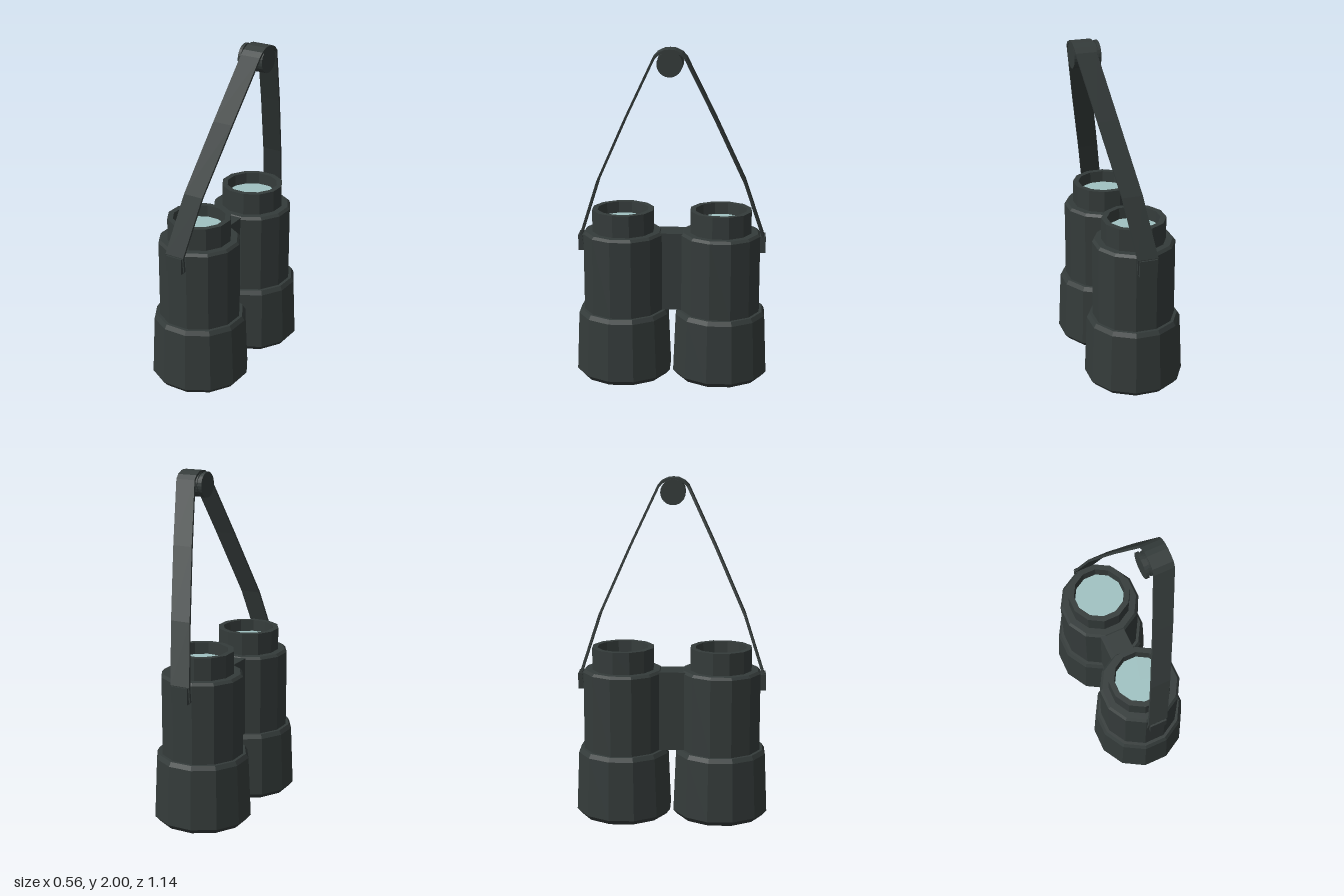
import * as THREE from 'three';

const SIDES = 12;
const K = 1 / Math.cos(Math.PI / SIDES); // flat-to-flat half width -> corner radius

const rubber = new THREE.MeshStandardMaterial({ color: 0x343b3a, flatShading: true });
rubber.name = 'dark rubber';
const glass = new THREE.MeshStandardMaterial({ color: 0xa0c2c2, flatShading: true });
glass.name = 'pale glass';

function add(parent, name, geometry, material, x = 0, y = 0, z = 0) {
  const mesh = new THREE.Mesh(geometry, material);
  mesh.name = name;
  mesh.position.set(x, y, z);
  parent.add(mesh);
  return mesh;
}

// Turned 12-sided shell with flats facing the axes
function turned(profile) {
  const points = profile.map(([r, y]) => new THREE.Vector2(r * K, y));
  return new THREE.LatheGeometry(points, SIDES, Math.PI / SIDES);
}

function lens(r) {
  return new THREE.CylinderGeometry(r * K, r * K, 0.008, SIDES, 1, false, Math.PI / SIDES);
}

// Flat band swept along points [x, y, z]; its width lies along x
function band(path, width, thickness) {
  const positions = [];
  const indices = [];
  path.forEach(([x, y, z], i) => {
    const a = path[Math.max(i - 1, 0)];
    const b = path[Math.min(i + 1, path.length - 1)];
    const len = Math.hypot(b[1] - a[1], b[2] - a[2]);
    const ny = -(b[2] - a[2]) / len * thickness / 2;
    const nz = (b[1] - a[1]) / len * thickness / 2;
    const w = width / 2;
    for (const [sx, sn] of [[-1, 1], [1, 1], [1, -1], [-1, -1]]) {
      positions.push(x + sx * w, y + sn * ny, z + sn * nz);
    }
    if (i === 0) return;
    for (let k = 0; k < 4; k++) {
      const p = (i - 1) * 4 + k;
      const q = (i - 1) * 4 + (k + 1) % 4;
      indices.push(p, q, q + 4, p, q + 4, p + 4);
    }
  });
  const e = (path.length - 1) * 4;
  indices.push(0, 2, 1, 0, 3, 2, e, e + 1, e + 2, e, e + 2, e + 3);
  const geometry = new THREE.BufferGeometry();
  geometry.setAttribute('position', new THREE.Float32BufferAttribute(positions, 3));
  geometry.setIndex(indices);
  geometry.computeVertexNormals();
  return geometry;
}

export function createModel() {
  const model = new THREE.Group();
  model.name = 'binoculars';

  // Two barrels, each with hood, body and eyecup
  for (const side of [1, -1]) {
    const barrel = new THREE.Group();
    barrel.name = side > 0 ? 'frontBarrel' : 'backBarrel';
    barrel.position.z = 0.29 * side;
    model.add(barrel);

    add(barrel, 'objectiveHood', turned([
      [0.22, 0.06], [0.228, 0], [0.255, 0], [0.28, 0.03],
      [0.265, 0.385], [0.25, 0.41], [0.22, 0.41],
    ]), rubber);
    add(barrel, 'barrelBody', turned([
      [0.232, 0.4], [0.232, 0.875], [0.218, 0.89], [0.17, 0.89],
    ]), rubber);
    add(barrel, 'eyecup', turned([
      [0.18, 0.88], [0.18, 1.022], [0.148, 1.022], [0.143, 0.94],
    ]), rubber);
    add(barrel, 'objectiveLens', lens(0.224), glass, 0, 0.05, 0);
    add(barrel, 'eyepieceLens', lens(0.145), glass, 0, 0.95, 0);

    // Lug holding the strap end
    add(barrel, 'strapLug', new THREE.BoxGeometry(0.105, 0.095, 0.04), rubber,
      0, 0.82, 0.245 * side);
  }

  // Bridge between the barrels, flared where it meets them
  const bridge = new THREE.Shape();
  [[-0.09, -0.08], [-0.09, 0.08], [-0.06, 0.07], [0.06, 0.07],
    [0.06, -0.07], [-0.06, -0.07]].forEach(([x, z], i) => (i ? bridge.lineTo(x, z) : bridge.moveTo(x, z)));
  const bridgeGeometry = new THREE.ExtrudeGeometry(bridge, { depth: 0.475, bevelEnabled: false });
  bridgeGeometry.rotateX(-Math.PI / 2);
  add(model, 'bridge', bridgeGeometry, rubber, 0, 0.41, 0);

  // Carrying strap, mirrored front to back over the top pin
  const half = [
    [0, 0.78, 0.528], [0, 0.87, 0.538], [0.057, 1.21, 0.428], [0.14, 1.6, 0.254],
    [0.213, 1.95, 0.088], [0.215, 1.973, 0.066], [0.215, 1.99, 0.03],
  ];
  const path = [...half, [0.215, 1.993, 0], ...half.map(([x, y, z]) => [x, y, -z]).reverse()];
  add(model, 'strap', band(path, 0.12, 0.014), rubber);

  // Top pin with a grooved head
  for (const [name, x0, x1, r] of [
    ['pinHead', 0.12, 0.138, 0.075], ['pinNeck', 0.136, 0.155, 0.066], ['pinBody', 0.152, 0.274, 0.072],
  ]) {
    const pin = new THREE.CylinderGeometry(r, r, x1 - x0, 24);
    pin.rotateZ(Math.PI / 2);
    add(model, name, pin, rubber, (x0 + x1) / 2, 1.918, 0);
  }

  return model;
}
